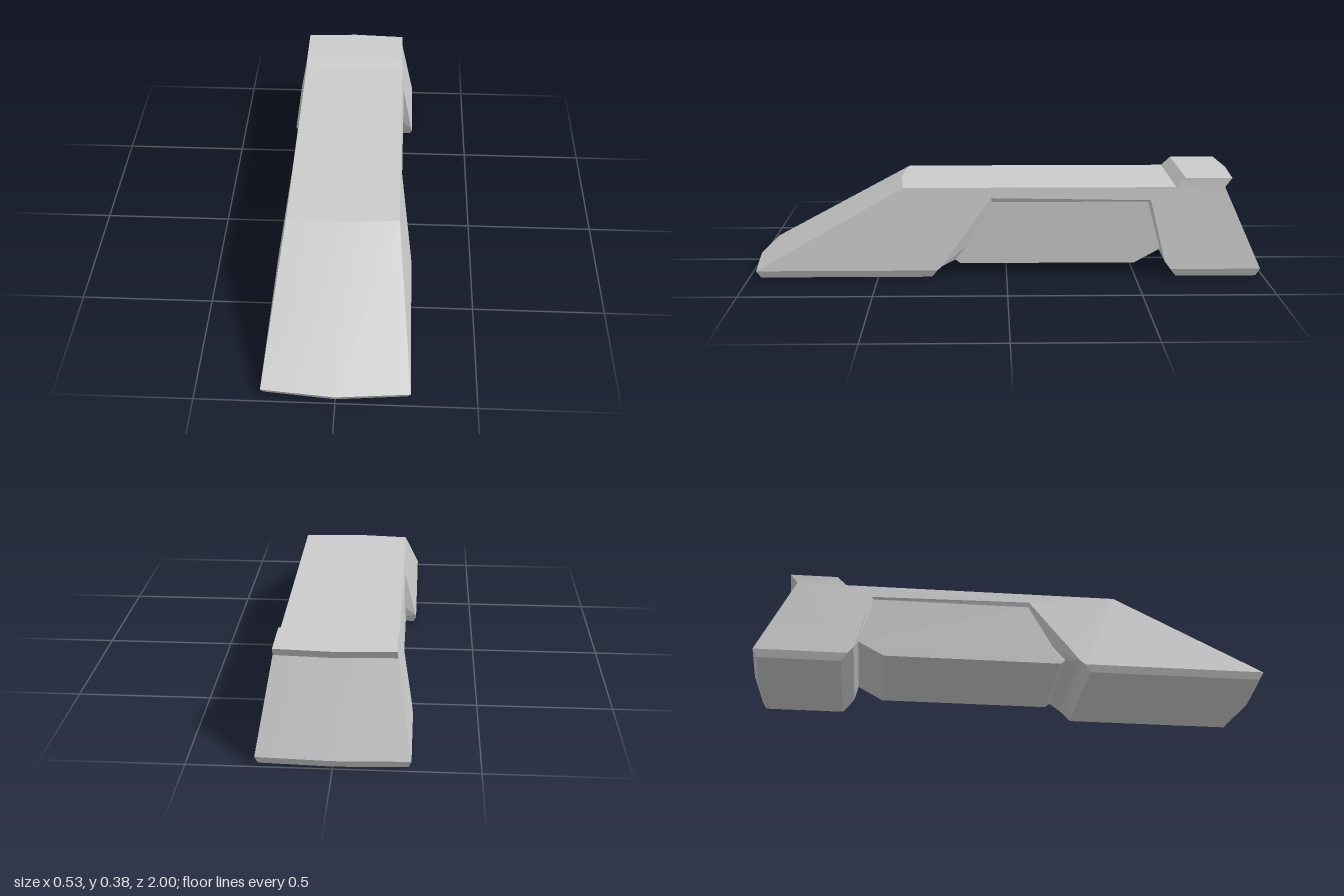
import * as THREE from 'three';
import { toCreasedNormals } from 'three/addons/utils/BufferGeometryUtils.js';

const lerp = THREE.MathUtils.lerp;

// Half width of the tapered outer hull and of the inset middle panel at height y
function hullWidth(y) {
  if (y < 0.028) return lerp(0.255, 0.265, y / 0.028);
  if (y < 0.345) return lerp(0.265, 0.212, (y - 0.028) / 0.317);
  return lerp(0.212, 0.21, (y - 0.345) / 0.035);
}
const panelWidth = (y) => lerp(0.222, 0.212, (y - 0.045) / 0.243);

// Points are [z, y]; bow is how far the middle bulges past the sides
const hull = (z, y, bow = 0) => ({ z, y, w: hullWidth(y), bow });
const inset = (z, y) => ({ z, y, w: panelWidth(y), bow: 0 });

const nose = [hull(0.955, 0, 0.025), hull(0.972, 0.028, 0.025), hull(0.4, 0.345, 0.02)];
const ridge = [hull(-0.658, 0.345), hull(-0.695, 0.38)];
const tail = [hull(-0.875, 0.38, -0.012), hull(-0.848, 0.345, -0.012),
  hull(-0.988, 0.03, -0.012), hull(-0.972, 0, -0.012)];
const rearFoot = [hull(-0.66, 0), hull(-0.637, 0.03)];
const frontFoot = [hull(0.27, 0.028), hull(0.29, 0)];

// Side recess: outer rim on the hull, inner rim on the inset panel, front to rear
const rim = [hull(0.25, 0.045), hull(0.218, 0.09), hull(0.06, 0.305), hull(-0.56, 0.295), hull(-0.615, 0.06)];
const inner = [inset(0.2, 0.06), inset(0.15, 0.12), inset(0.058, 0.288), inset(-0.55, 0.288), inset(-0.6, 0.1)];
const belly = [inset(-0.5, 0.045), inset(0.18, 0.045)];

const at = (p, t) => [p.w * t, p.y, p.z + p.bow * (1 - Math.abs(t))];

function makeMesh(name, triangles) {
  const geometry = new THREE.BufferGeometry();
  geometry.setAttribute('position', new THREE.Float32BufferAttribute(triangles.flat(2), 3));
  const material = new THREE.MeshStandardMaterial({ color: 0xcccccc });
  const mesh = new THREE.Mesh(toCreasedNormals(geometry, 0.25), material);
  mesh.name = name;
  return mesh;
}

// Skin spanning the width along a closed profile, creased on the centre line
function skin(profile) {
  const out = [];
  profile.forEach((p, i) => {
    const q = profile[(i + 1) % profile.length];
    for (const t of [-1, 0]) {
      const [a, b, c, d] = [at(p, t), at(p, t + 1), at(q, t + 1), at(q, t)];
      out.push([a, b, c], [a, c, d]);
    }
  });
  return out;
}

// Filled outline on the left side
function sideFace(points) {
  const flat = points.map((p) => new THREE.Vector2(-p.z, p.y));
  return THREE.ShapeUtils.triangulateShape(flat, []).map(([i, j, k]) => {
    const area = THREE.ShapeUtils.area([flat[i], flat[j], flat[k]]);
    const order = area > 0 ? [i, j, k] : [i, k, j];
    return order.map((n) => at(points[n], 1));
  });
}

// Both sides from the left one
function mirrored(triangles) {
  const flip = ([x, y, z]) => [-x, y, z];
  return [...triangles, ...triangles.map(([a, b, c]) => [flip(a), flip(c), flip(b)])];
}

export function createModel() {
  const group = new THREE.Group();
  group.name = 'wedgeBody';

  // Nose, roof, raised rear ridge, tail and underside
  const profile = [...nose, ...ridge, ...tail, ...rearFoot, rim[4], inner[4],
    ...belly, inner[0], rim[0], ...frontFoot];
  group.add(makeMesh('shell', skin(profile)));

  // Hull sides, split where their slope changes
  const sides = [
    [nose[1], nose[2], ridge[0], tail[1], tail[2], rearFoot[1], ...[...rim].reverse(), frontFoot[0]],
    [ridge[0], ridge[1], tail[0], tail[1]],
    [nose[0], nose[1], frontFoot[0], frontFoot[1]],
    [rearFoot[0], rearFoot[1], tail[2], tail[3]],
  ];
  group.add(makeMesh('hullSides', mirrored(sides.flatMap(sideFace))));

  // Bevel around each side recess
  const lip = [];
  for (let i = 0; i < rim.length - 1; i++) {
    lip.push([at(rim[i], 1), at(inner[i], 1), at(inner[i + 1], 1)]);
    lip.push([at(rim[i], 1), at(inner[i + 1], 1), at(rim[i + 1], 1)]);
  }
  group.add(makeMesh('recessLips', mirrored(lip)));

  // Inset panels between the feet
  group.add(makeMesh('insetPanels', mirrored(sideFace([...inner, ...belly]))));
  return group;
}
